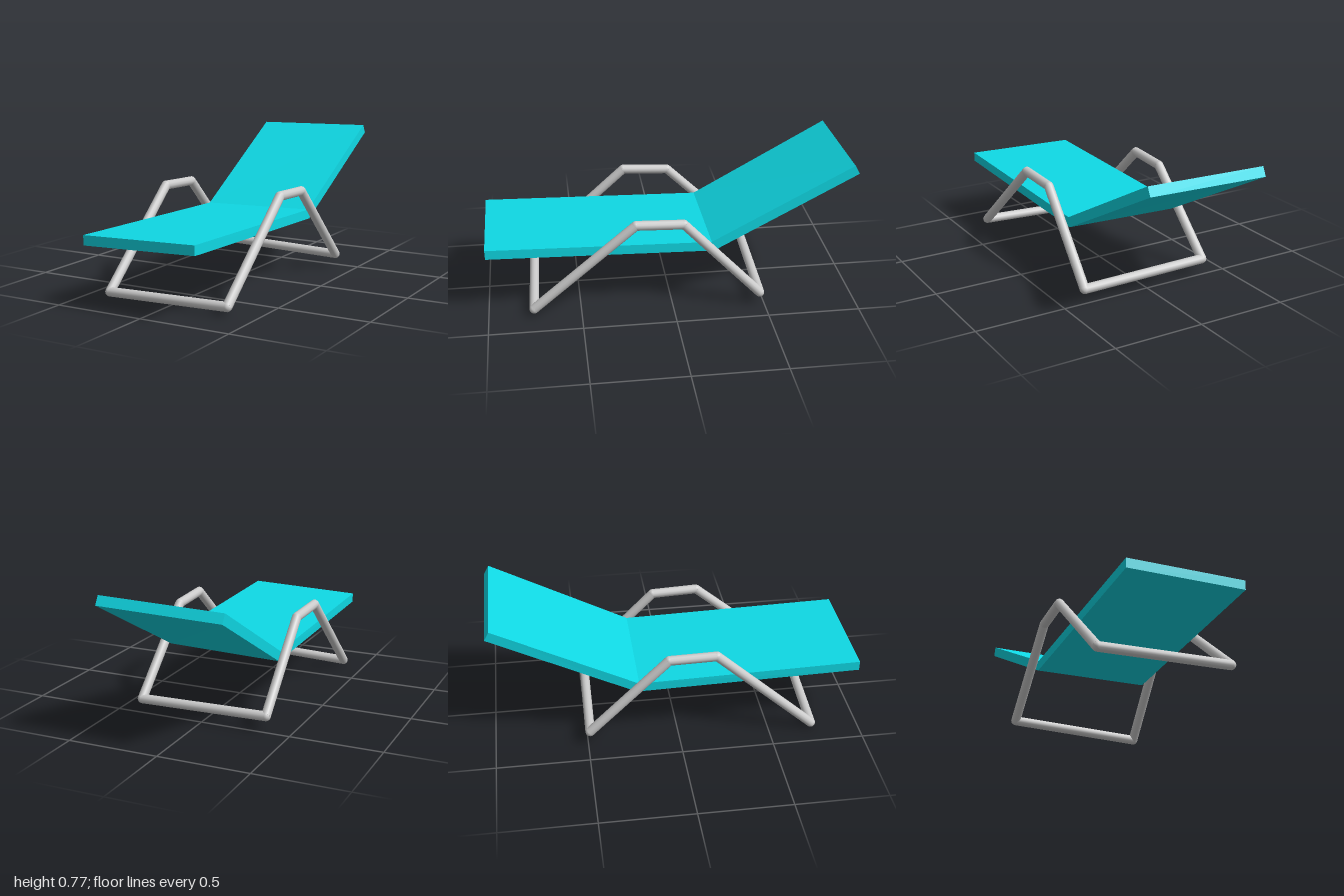
import * as THREE from 'three';

const TUBE = 0.026;

// One straight tube between two points
function tube(a, b, material) {
  const dir = b.clone().sub(a);
  const mesh = new THREE.Mesh(new THREE.CylinderGeometry(TUBE, TUBE, dir.length(), 12), material);
  mesh.position.copy(a).addScaledVector(dir, 0.5);
  mesh.quaternion.setFromUnitVectors(new THREE.Vector3(0, 1, 0), dir.normalize());
  return mesh;
}

// Slab swept through four-cornered sections: top -x, top +x, bottom +x, bottom -x
function slab(sections) {
  const pos = [];
  const quad = (a, b, c, d) => pos.push(...a, ...b, ...c, ...a, ...c, ...d);
  for (let s = 0; s < sections.length - 1; s++) {
    const p = sections[s], q = sections[s + 1];
    for (let i = 0; i < 4; i++) {
      const j = (i + 1) % 4;
      quad(p[i], p[j], q[j], q[i]);
    }
  }
  const [f, b] = [sections[0], sections[sections.length - 1]];
  quad(f[3], f[2], f[1], f[0]);
  quad(b[0], b[1], b[2], b[3]);
  const geo = new THREE.BufferGeometry();
  geo.setAttribute('position', new THREE.Float32BufferAttribute(pos, 3));
  geo.computeVertexNormals();
  return geo;
}

export function createModel() {
  const model = new THREE.Group();
  const metal = new THREE.MeshStandardMaterial({ color: 0xcccccc });
  const fabric = new THREE.MeshStandardMaterial({ color: 0x0fd8e4 });

  // Bent tube frame: a closed loop, slightly skewed
  const points = [
    [-0.37, 0.03, 0.738], [-0.367, 0.518, 0.2], [-0.36, 0.508, -0.055], [-0.364, 0.09, -0.488],
    [0.368, 0.073, -0.474], [0.347, 0.508, -0.055], [0.349, 0.518, 0.2], [0.349, 0.052, 0.755],
  ].map((p) => new THREE.Vector3(...p));
  const names = ['rightFrontLeg', 'rightArmrest', 'rightRearLeg', 'rearFootBar',
    'leftRearLeg', 'leftArmrest', 'leftFrontLeg', 'frontFootBar'];
  const frame = new THREE.Group();
  frame.name = 'frame';
  points.forEach((p, i) => {
    const bar = tube(p, points[(i + 1) % points.length], metal);
    bar.name = names[i];
    const joint = new THREE.Mesh(new THREE.SphereGeometry(TUBE, 12, 8), metal);
    joint.name = 'frameJoint';
    joint.position.copy(p);
    frame.add(bar, joint);
  });
  model.add(frame);

  // Lounging surface: front edge, fold, top of the backrest
  const lounge = new THREE.Mesh(slab([
    [[-0.333, 0.386, 1], [0.314, 0.404, 0.996], [0.314, 0.352, 0.995], [-0.332, 0.333, 0.999]],
    [[-0.331, 0.357, -0.212], [0.315, 0.375, -0.212], [0.316, 0.322, -0.225], [-0.328, 0.304, -0.225]],
    [[-0.36, 0.764, -0.974], [0.316, 0.779, -0.974], [0.317, 0.732, -1], [-0.358, 0.716, -1]],
  ]), fabric);
  lounge.name = 'seatAndBackrest';
  model.add(lounge);

  return model;
}
